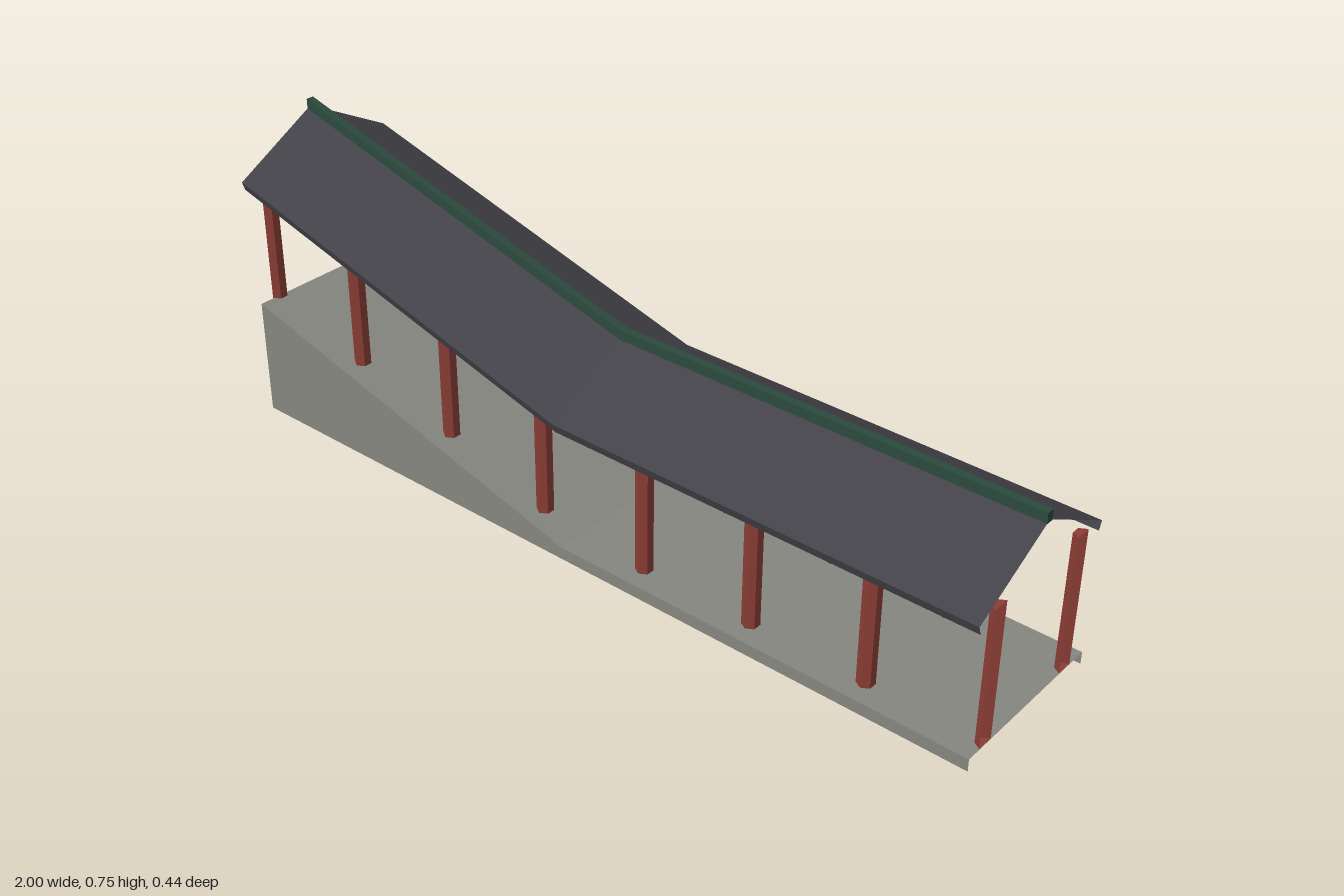
import * as THREE from 'three';

const KNEE = -0.04, RISE = 0.26;
// height added by the slope at a given x
const lift = (x) => (x < KNEE ? (RISE * (KNEE - x)) / (KNEE + 1) : 0);

// sweeps a [z, y] profile along the bent walkway line, as flat faces
function sweep(profile) {
  const stations = [-1, KNEE, 1];
  const pos = [];
  const point = (x, [z, y]) => [x, y + lift(x), z];
  for (let s = 0; s < 2; s++) {
    for (let i = 0; i < profile.length - 1; i++) {
      const a = point(stations[s], profile[i]);
      const b = point(stations[s + 1], profile[i]);
      const c = point(stations[s + 1], profile[i + 1]);
      const d = point(stations[s], profile[i + 1]);
      pos.push(...a, ...b, ...c, ...a, ...c, ...d);
    }
  }
  const g = new THREE.BufferGeometry();
  g.setAttribute('position', new THREE.Float32BufferAttribute(pos, 3));
  g.computeVertexNormals();
  return g;
}

export function createModel() {
  const model = new THREE.Group();
  model.name = 'coveredWalkway';

  const material = (name, color) => {
    const m = new THREE.MeshStandardMaterial({ color, side: THREE.DoubleSide, flatShading: true });
    m.name = name;
    return m;
  };
  const stone = material('grey stone', 0x868680);
  const tile = material('dark roof tile', 0x434248);
  const red = material('red painted wood', 0x8a3d35);
  const green = material('green ridge', 0x2b4a3d);

  const add = (name, geometry, mat, parent = model) => {
    const mesh = new THREE.Mesh(geometry, mat);
    mesh.name = name;
    parent.add(mesh);
    return mesh;
  };

  // floor sheet and the two side walls under it, open at the ends
  const FRONT = 0.203, BACK = -0.218, FLOOR = 0.03;
  add('floor', sweep([[FRONT, FLOOR], [BACK, FLOOR]]), stone);
  const side = new THREE.Shape([
    [-1, 0], [1, 0], [1, FLOOR], [KNEE, FLOOR], [-1, FLOOR + RISE],
  ].map(([x, y]) => new THREE.Vector2(x, y)));
  add('frontWall', new THREE.ShapeGeometry(side), stone).position.z = FRONT;
  add('backWall', new THREE.ShapeGeometry(side), stone).position.z = BACK;

  // two rows of hexagonal pillars, halved at both ends
  const pillars = new THREE.Group();
  pillars.name = 'pillars';
  model.add(pillars);
  const R = 0.02, H = 0.33, COUNT = 8;
  const full = new THREE.CylinderGeometry(R, R, H, 6);
  const half = (start) => new THREE.CylinderGeometry(R, R, H, 3, 1, false, start, Math.PI);
  for (let i = 0; i < COUNT; i++) {
    const end = i === 0 || i === COUNT - 1;
    const x = end ? Math.sign(i - 1) : -1.002 + i * 0.2877;
    const geometry = end ? half(i === 0 ? 0 : Math.PI) : full;
    for (const z of [0.147, -0.147]) {
      add('pillar', geometry, red, pillars)
        .position.set(x, FLOOR + lift(x) + H / 2 + 0.0015, z);
    }
  }

  // thin gable roof with small folded eave lips
  add('roof', sweep([
    [0.213, 0.333], [0.22, 0.354], [0, 0.473], [-0.22, 0.354], [-0.213, 0.333],
  ]), tile);

  // ridge beam with end caps
  const w = 0.0095, y0 = 0.467, y1 = 0.492;
  add('ridge', sweep([[w, y0], [w, y1], [-w, y1], [-w, y0], [w, y0]]), green);
  for (const x of [-1, 1]) {
    const cap = add('ridgeEnd', new THREE.PlaneGeometry(2 * w, y1 - y0), green);
    cap.rotation.y = (x * Math.PI) / 2;
    cap.position.set(x, (y0 + y1) / 2 + lift(x), 0);
  }
  return model;
}
